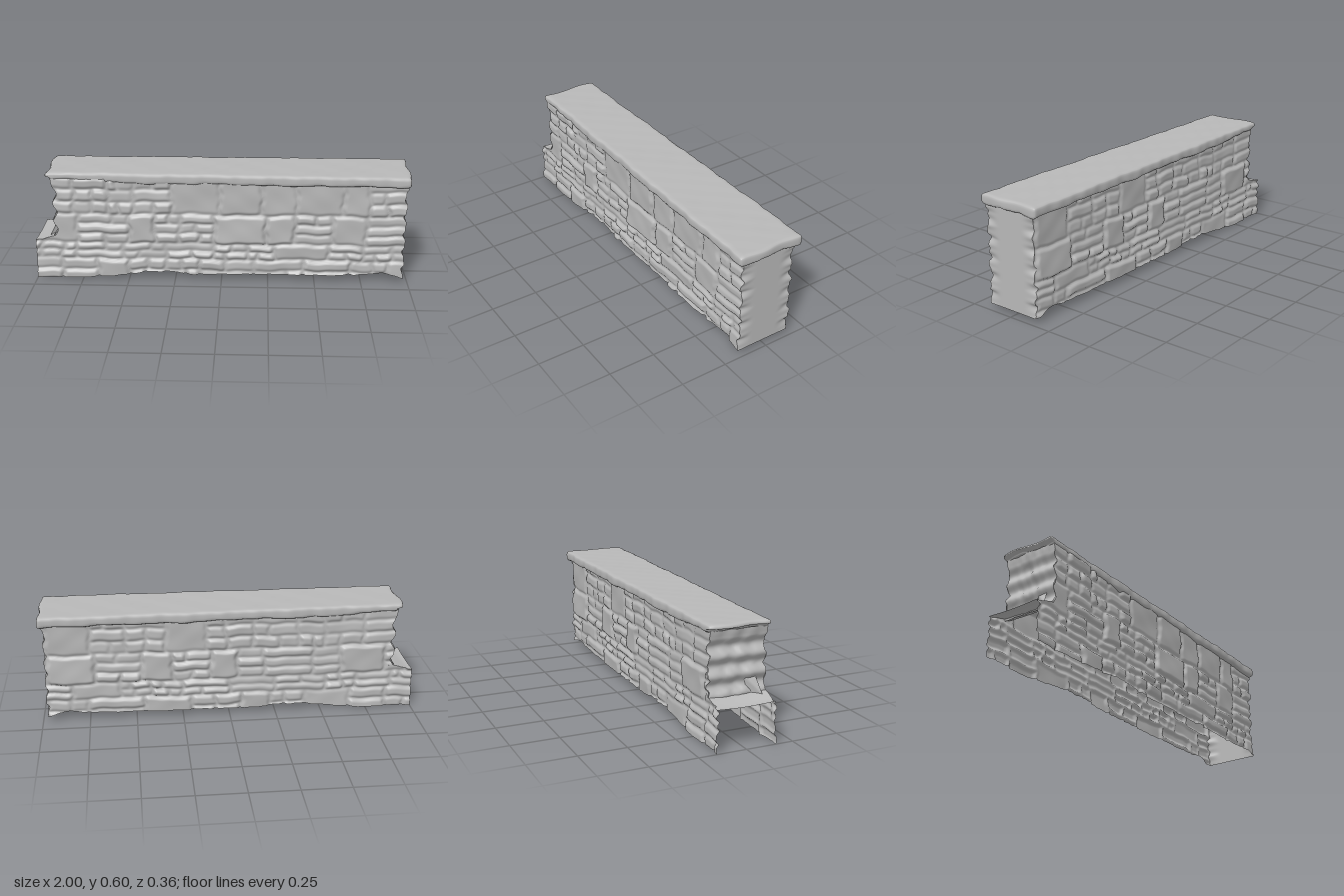
import * as THREE from 'three';
import { mergeVertices } from 'three/addons/utils/BufferGeometryUtils.js';

const { lerp, clamp, smoothstep } = THREE.MathUtils;

// small seeded random generator
function seeded(seed) {
  let s = seed;
  return () => (s = (s * 16807) % 2147483647) / 2147483647;
}

// gentle repeatable wobble
const wobble = (a, b = 0) =>
  (Math.sin(a * 9.1 + b * 13) + Math.sin(a * 23.7 - b * 31 + 1.3) + 0.6 * Math.sin(a * 51 + b * 47 + 4)) / 2.6;

// worn lower edge of the masonry, as x, y pairs
const FOOT = [[-1, 0.005], [-0.75, 0.01], [-0.6, 0.018], [-0.5, 0.03], [-0.4, 0.045], [-0.28, 0.045], [-0.15, 0.032],
  [0.2, 0.037], [0.6, 0.038], [0.8, 0.044], [0.86, 0.055], [0.91, 0.048], [0.98, 0.028]];
function footY(x) {
  let i = 0;
  while (i < FOOT.length - 2 && x > FOOT[i + 1][0]) i++;
  const [a, b] = [FOOT[i], FOOT[i + 1]];
  return lerp(a[1], b[1], clamp((x - a[0]) / (b[0] - a[0]), 0, 1));
}

// bands of masonry: each block is one big stone or a stack of thin ones
function layStones(seed) {
  const rand = seeded(seed);
  const stones = [];
  const bands = [-0.01, 0.12, 0.21, 0.375, 0.58];
  for (let b = 0; b < bands.length - 1; b++) {
    const y0 = bands[b], h = bands[b + 1] - y0;
    for (let x = -1.1 - rand() * 0.1; x < 1.1;) {
      const w = 0.13 + rand() * 0.17;
      const rows = rand() < 0.3 ? 1 : Math.max(2, Math.round(h / 0.06));
      for (let r = 0; r < rows; r++) {
        const cut = rows > 1 && rand() < 0.5 ? lerp(0.35, 0.65, rand()) : 1;
        const row = { y0: y0 + (h * r) / rows, y1: y0 + (h * (r + 1)) / rows };
        stones.push({ ...row, x0: x, x1: x + w * cut, depth: 0.006 + rand() * 0.013, tilt: rand() - 0.5 });
        if (cut < 1) stones.push({ ...row, x0: x + w * cut, x1: x + w, depth: 0.006 + rand() * 0.013, tilt: rand() - 0.5 });
      }
      x += w;
    }
  }
  return stones;
}
const courses = { 1: layStones(4711), '-1': layStones(90210) };

// depth of the stone face on the front (side 1) or the back (side -1)
function faceZ(x, y, side) {
  const px = x + 0.01 * wobble(y * 2, x), py = y + 0.008 * wobble(x, side);
  let relief = 0;
  for (const s of courses[side]) {
    if (px < s.x0 || px >= s.x1 || py < s.y0 || py >= s.y1) continue;
    const dx = Math.min(px - s.x0, s.x1 - px), dy = Math.min(py - s.y0, s.y1 - py);
    const along = (py - s.y0) / (s.y1 - s.y0) - 0.5;
    relief = s.depth * (1 + s.tilt * along) * smoothstep(dx, -0.004, 0.022) * smoothstep(dy, -0.004, 0.02);
    break;
  }
  return side * (0.143 + relief + 0.003 * wobble(x * 0.7, y));
}

const TOP = 0.57;
const rightX = (y) => 0.972 + 0.007 * Math.sin(y * 62) + 0.003 * Math.sin(y * 131);
const leftX = (y) => -0.887 + 0.011 * Math.sin(y * 66 + 1) - 0.03 * smoothstep(y, 0.53, 0.58);
const ledgeY = (x) => 0.222 + 0.025 * smoothstep(x, -0.99, -0.89);

// grid surface from a rule (u, v) => [x, y, z]; flip turns it over
function panel(nu, nv, rule, flip = false) {
  const pos = [], index = [];
  for (let j = 0; j <= nv; j++) for (let i = 0; i <= nu; i++) pos.push(...rule(i / nu, j / nv));
  for (let j = 0; j < nv; j++) {
    for (let i = 0; i < nu; i++) {
      const a = j * (nu + 1) + i, b = a + 1, c = a + nu + 1, d = c + 1;
      if (flip) index.push(a, d, b, a, c, d);
      else index.push(a, b, d, a, d, c);
    }
  }
  const g = new THREE.BufferGeometry();
  g.setAttribute('position', new THREE.Float32BufferAttribute(pos, 3));
  g.setIndex(index);
  g.computeVertexNormals();
  return g;
}

// rounded, uneven coping slab, open underneath where it sits on the hollow wall
function copingGeometry() {
  const half = [1, 0.5, 1], r = 0.016;
  let g = new THREE.BoxGeometry(2, 1, 2, 160, 6, 24);
  g.deleteAttribute('uv');
  g.deleteAttribute('normal');
  g = mergeVertices(g);
  const p = g.attributes.position, v = new THREE.Vector3(), core = new THREE.Vector3();
  for (let i = 0; i < p.count; i++) {
    v.fromBufferAttribute(p, i);
    const t = (v.x + half[0]) / 2;
    const hz = lerp(0.158, 0.18, t), hy = lerp(0.019, 0.0275, smoothstep(t, 0, 0.2));
    v.set(v.x * 0.962, v.y * 2 * hy, v.z * hz);
    core.set(clamp(v.x, -0.962 + r, 0.962 - r), clamp(v.y, r - hy, hy - r), clamp(v.z, r - hz, hz - r));
    v.sub(core);
    if (v.length() > r) v.setLength(r);
    v.add(core);
    const low = v.y < 0 ? 1 : 0, edge = Math.sign(v.z) * smoothstep(Math.abs(v.z), 0.1, 0.15);
    const nearLeft = smoothstep(-v.x, 0.9, 0.96), nearRight = smoothstep(v.x, 0.9, 0.96);
    p.setXYZ(i,
      v.x + 0.032 + nearLeft * (0.022 * low + 0.008 * Math.sin(v.z * 24)) + nearRight * 0.005 * Math.sin(v.z * 30),
      v.y + lerp(0.603, 0.6, t) - hy + low * 0.006 * wobble(v.x + v.z * 2, 0.4) + (1 - low) * 0.0015 * wobble(v.x, v.z),
      v.z - lerp(0.006, 0.002, t) + edge * 0.006 * wobble(v.x * 1.4, edge));
  }
  const kept = [], idx = g.index.array;
  for (let i = 0; i < idx.length; i += 3) {
    const f = [idx[i], idx[i + 1], idx[i + 2]];
    const under = f.every((k) => p.getY(k) < 0.578 && Math.abs(p.getZ(k)) < 0.135 && p.getX(k) > -0.86 && p.getX(k) < 0.95);
    if (!under) kept.push(...f);
  }
  g.setIndex(kept);
  g.computeVertexNormals();
  return g;
}

export function createModel() {
  const model = new THREE.Group();
  model.name = 'stoneWall';
  const stone = new THREE.MeshStandardMaterial({ color: 0xb8b8b8, side: THREE.DoubleSide });
  stone.name = 'grey stone';
  const add = (name, geometry) => {
    const mesh = new THREE.Mesh(geometry, stone);
    mesh.name = name;
    model.add(mesh);
  };

  // long faces and the low broken stub at the right-hand end
  for (const side of [1, -1]) {
    const label = side > 0 ? 'front' : 'back';
    add(label + 'StoneFace', panel(280, 84, (u, v) => {
      const yEdge = lerp(0.03, TOP, v);
      const x = lerp(leftX(yEdge), rightX(yEdge), u);
      const y = lerp(footY(x) + 0.003 * wobble(x * 2, side), TOP, v);
      return [x, y, faceZ(x, y, side)];
    }, side < 0));
    add(label + 'Stub', panel(18, 36, (u, v) => {
      const x = lerp(-1, -0.87, u);
      const y = lerp(footY(x) + 0.003 * wobble(x * 2, side), ledgeY(x), v);
      return [x, y, faceZ(x, y, side)];
    }, side < 0));
  }

  // closed end at the model's left
  add('leftEnd', panel(24, 84, (u, v) => {
    const yEdge = lerp(0.03, TOP, v), x = rightX(yEdge);
    const y = lerp(footY(x) + 0.003 * wobble(x * 2, 1), TOP, v);
    const inner = Math.sin(Math.PI * u);
    return [lerp(x, 0.976, Math.min(1, inner * 1.5)), y, lerp(faceZ(x, y, 1), faceZ(x, y, -1), u)];
  }));

  // broken end above the ledge at the model's right
  add('rightEnd', panel(24, 50, (u, v) => {
    const y = lerp(0.235, TOP, v), x = leftX(y);
    const inner = Math.sin(Math.PI * u);
    return [x + 0.008 * inner * wobble(u * 0.8, y), y, lerp(faceZ(x, y, -1), faceZ(x, y, 1), u)];
  }));

  // ledge over the hollow stub
  add('ledge', panel(18, 24, (u, v) => {
    const x = lerp(-1, -0.87, u), y = ledgeY(x);
    return [x, y - 0.006 * Math.sin(Math.PI * v), lerp(faceZ(x, y, 1), faceZ(x, y, -1), v)];
  }));

  // leftover shard where the ledge meets the broken end
  add('brokenShard', panel(6, 8, (u, v) => [
    lerp(-0.925, -0.88, Math.max(u, v)), lerp(0.238, 0.33, v), lerp(0.12, 0.06, u) - 0.02 * v,
  ]));

  add('copingSlab', copingGeometry());
  return model;
}
